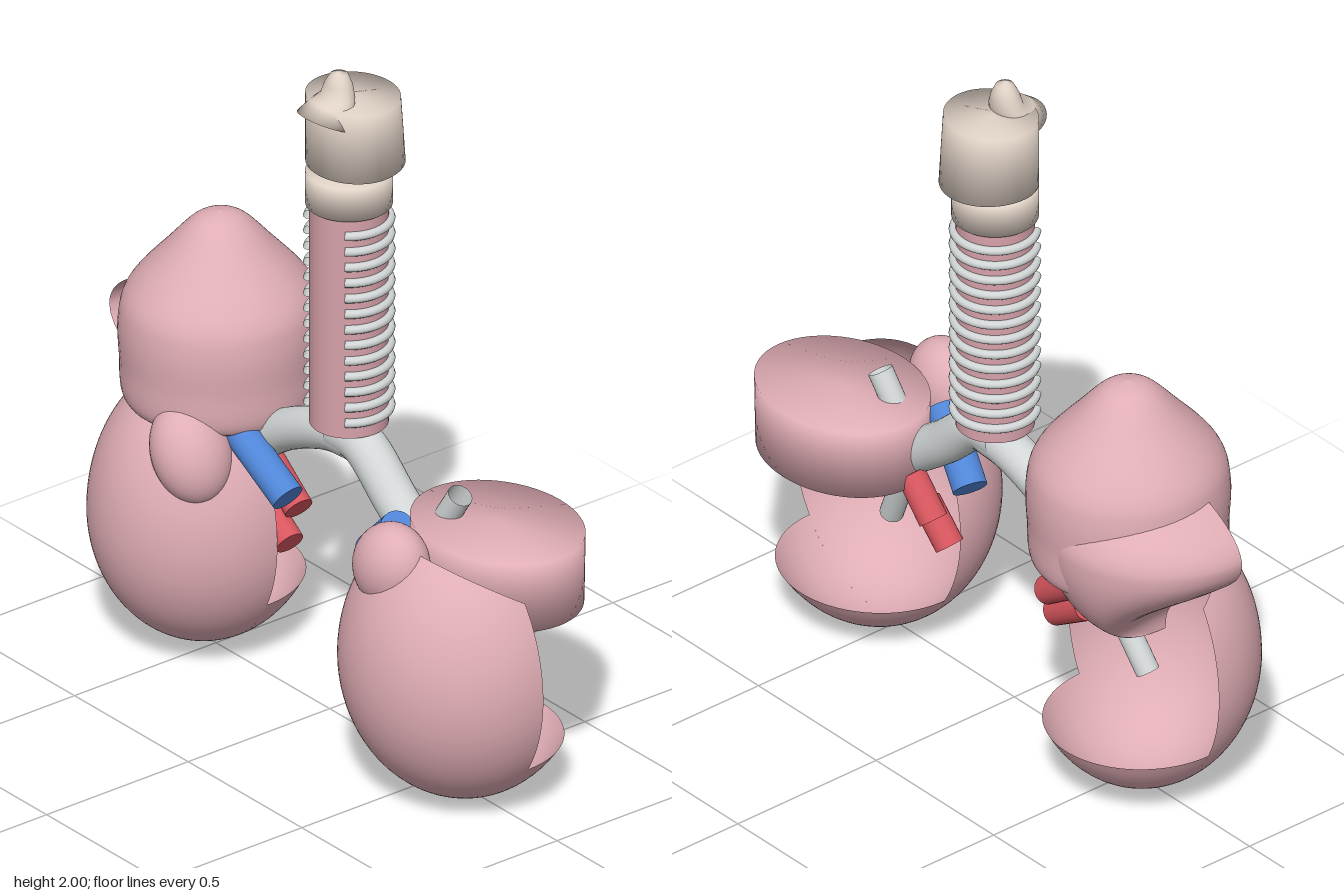
import * as THREE from 'three';

const V = (x, y, z) => new THREE.Vector3(x, y, z);

function mat(name, color) {
  const m = new THREE.MeshStandardMaterial({ color, side: THREE.DoubleSide });
  m.name = name;
  return m;
}

// Smooth grid surface from a rule f(u, v) -> Vector3
function surface(f, nu, nv) {
  const pos = [], idx = [];
  for (let j = 0; j <= nv; j++)
    for (let i = 0; i <= nu; i++) pos.push(...f(i / nu, j / nv).toArray());
  for (let j = 0; j < nv; j++)
    for (let i = 0; i < nu; i++) {
      const a = j * (nu + 1) + i, b = a + nu + 1;
      idx.push(a, b, a + 1, a + 1, b, b + 1);
    }
  const g = new THREE.BufferGeometry();
  g.setAttribute('position', new THREE.Float32BufferAttribute(pos, 3));
  g.setIndex(idx);
  g.computeVertexNormals();
  return g;
}

// Closed drum with normals blended softly over its rims
function softDrum(rBottom, rTop, h) {
  const pts = [[0, -h / 2], [rBottom, -h / 2], [rTop, h / 2], [0, h / 2]];
  return new THREE.LatheGeometry(pts.map(q => new THREE.Vector2(...q)), 56);
}

export function createModel() {
  const root = new THREE.Group();
  root.name = 'airwayAndLungs';
  const lung = mat('lungPink', 0xe0adb5);
  const windpipe = mat('windpipePink', 0xd7a2aa);
  const grey = mat('cartilageGrey', 0xd2d6d6);
  const beige = mat('larynxBeige', 0xdfd1c5);
  const blue = mat('veinBlue', 0x5086d8);
  const red = mat('arteryRed', 0xd8565e);

  const add = (name, geo, material, x = 0, y = 0, z = 0) => {
    const m = new THREE.Mesh(geo, material);
    m.name = name;
    m.position.set(x, y, z);
    root.add(m);
    return m;
  };
  const rod = (name, a, b, r, material) => {
    const d = b.clone().sub(a);
    const m = add(name, new THREE.CylinderGeometry(r, r, d.length(), 24, 1, material === grey), material);
    m.position.copy(a).add(b).multiplyScalar(0.5);
    m.quaternion.setFromUnitVectors(V(0, 1, 0), d.normalize());
  };
  const tube = (name, pts, r) =>
    add(name, new THREE.TubeGeometry(new THREE.CatmullRomCurve3(pts), 32, r, 24), grey);

  // Windpipe with C-shaped rings open at the front
  const cx = 0.035, cz = -0.04;
  add('windpipe', new THREE.CylinderGeometry(0.11, 0.11, 0.68, 40), windpipe, cx, 1.24, cz);
  const ring = new THREE.TorusGeometry(0.115, 0.013, 10, 40, Math.PI + 1.54);
  ring.rotateZ(-Math.PI - 0.77);
  ring.rotateX(Math.PI / 2);
  for (let i = 0; i < 13; i++) add('windpipeRing', ring, grey, cx, 0.95 + i * 0.0485, cz);

  // Larynx: lower ring and upper shield leaning back
  add('lowerLarynxRing', softDrum(0.121, 0.121, 0.1), beige, cx, 1.63, cz);
  const shield = softDrum(0.14, 0.14, 0.21);
  const p = shield.attributes.position;
  for (let i = 0; i < p.count; i++) {
    const z = p.getZ(i);
    p.setZ(i, z < 0 ? z * (p.getY(i) < 0 ? 1.08 : 0.93) : z * 0.88);
  }
  add('larynxShield', shield, beige, cx, 1.805, -0.052);

  // Bell-shaped flap, its front lip raised: rows of height, half width, centre z, depth
  const flap = [[2.0, 0, 0, 0], [1.99, 0.025, -0.005, 0.025], [1.96, 0.043, -0.003, 0.038],
    [1.925, 0.055, 0, 0.044], [1.895, 0.071, 0.02, 0.055], [1.86, 0.0875, 0.045, 0.07], [1.86, 0, 0.045, 0]];
  const rows = flap.length - 1;
  add('larynxFlap', surface((u, v) => {
    const [y, w, zc, d] = flap[Math.round(v * rows)];
    const a = -u * Math.PI * 2, s = Math.sin(a);
    return V(cx + w * Math.cos(a), y + 0.43 * Math.max(0, s) * d * (y < 1.9 ? 1 : 0), zc + d * s);
  }, 32, rows), beige);

  // Main airways and their branches
  tube('leftBronchus', [V(0, 0.86, cz), V(0.1, 0.85, cz), V(0.25, 0.73, cz), V(0.4, 0.62, cz)], 0.063);
  tube('rightBronchus', [V(0.06, 0.85, cz), V(-0.04, 0.84, cz), V(-0.22, 0.77, cz), V(-0.4, 0.65, cz)], 0.06);
  rod('leftUpperBranch', V(0.38, 0.65, -0.04), V(0.5, 0.85, -0.06), 0.036, grey);
  rod('leftLowerBranch', V(0.38, 0.64, -0.04), V(0.51, 0.36, -0.01), 0.034, grey);
  rod('rightLowerBranch', V(-0.38, 0.67, -0.04), V(-0.58, 0.37, -0.01), 0.034, grey);

  // Blood vessels
  rod('leftVein', V(0.2, 0.58, 0.01), V(0.38, 0.74, 0.065), 0.05, blue);
  rod('rightVein', V(-0.14, 0.61, 0.035), V(-0.34, 0.74, 0.045), 0.048, blue);
  rod('leftUpperArtery', V(0.25, 0.49, -0.08), V(0.34, 0.6, -0.085), 0.042, red);
  rod('leftLowerArtery', V(0.24, 0.39, -0.03), V(0.33, 0.5, -0.04), 0.042, red);
  rod('rightUpperArtery', V(-0.235, 0.5, -0.08), V(-0.37, 0.59, -0.09), 0.042, red);
  rod('rightLowerArtery', V(-0.225, 0.41, -0.04), V(-0.37, 0.5, -0.05), 0.042, red);

  // Lower lobes: open front shell under a slanted cut, and a bowl behind it
  function lowerLobe(side, x, y, rx, ryUp, ryDown, rz, bowlTop) {
    const at = (a, t) => V(x + rx * Math.cos(t) * Math.cos(a),
      y + (t > 0 ? ryUp : ryDown) * Math.sin(t), rz * Math.cos(t) * Math.sin(a));
    const cut = a => {
      let lo = 0, hi = Math.PI / 2;
      for (let k = 0; k < 24; k++) {
        const m = (lo + hi) / 2, q = at(a, m);
        if (q.y < 0.68 + 0.6 * q.z) lo = m; else hi = m;
      }
      return lo;
    };
    const low = -Math.PI / 2, bowl = Math.asin((bowlTop - y) / ryDown);
    add(side + 'LowerLobe', surface((u, v) => {
      const a = u * Math.PI;
      return at(a, low + v * (cut(a) - low));
    }, 48, 40), lung);
    add(side + 'LowerLobeBowl', surface((u, v) =>
      at(Math.PI * (1 + u), low + v * (bowl - low)), 48, 16), lung);
  }
  lowerLobe('left', 0.585, 0.41, 0.355, 0.425, 0.41, 0.34, 0.17);
  lowerLobe('right', -0.55, 0.41, 0.32, 0.44, 0.39, 0.33, 0.21);

  // Small front lobes
  const egg = new THREE.SphereGeometry(1, 32, 24);
  const leftEgg = add('leftFrontLobe', egg, lung, 0.498, 0.713, 0.182);
  leftEgg.scale.set(0.118, 0.132, 0.098);
  leftEgg.rotation.z = -0.6;
  const rightEgg = add('rightFrontLobe', egg, lung, -0.405, 0.69, 0.165);
  rightEgg.scale.set(0.108, 0.15, 0.115);
  rightEgg.rotation.z = 0.45;

  // Left upper lobe: flat oval block with soft shading
  const block = add('leftUpperLobe', softDrum(0.27, 0.274, 0.21), lung, 0.59, 0.677, -0.12);
  block.scale.z = 0.8;

  // Right upper lobe: pointed dome
  const dome = new THREE.SplineCurve([[0, 0.745], [0.15, 0.745], [0.258, 0.752], [0.275, 0.88], [0.277, 1.0],
    [0.25, 1.09], [0.15, 1.21], [0.07, 1.295], [0, 1.318]].map(q => new THREE.Vector2(...q))).getPoints(56);
  dome.forEach(q => { q.x = Math.max(0, q.x); });
  const domeMesh = add('rightUpperLobe', new THREE.LatheGeometry(dome, 56), lung, -0.537, 0, -0.045);
  domeMesh.scale.z = 1.03;

  // Right middle lobe: half egg behind, drawn out to a blunt point on the outer side
  add('rightMiddleLobe', surface((u, v) => {
    const a = Math.PI * (1 + u), t = (v - 0.5) * Math.PI, c = Math.max(0, Math.cos(t));
    const outer = Math.max(0, -Math.cos(a));
    return V(-0.62 + 0.325 * Math.cos(a) * c ** (1 + outer * (t > 0 ? 0.4 : 5)),
      0.88 + (t > 0 ? 0.19 : 0.36) * Math.sin(t), 0.02 + 0.35 * c * Math.sin(a));
  }, 40, 40), lung);

  return root;
}
